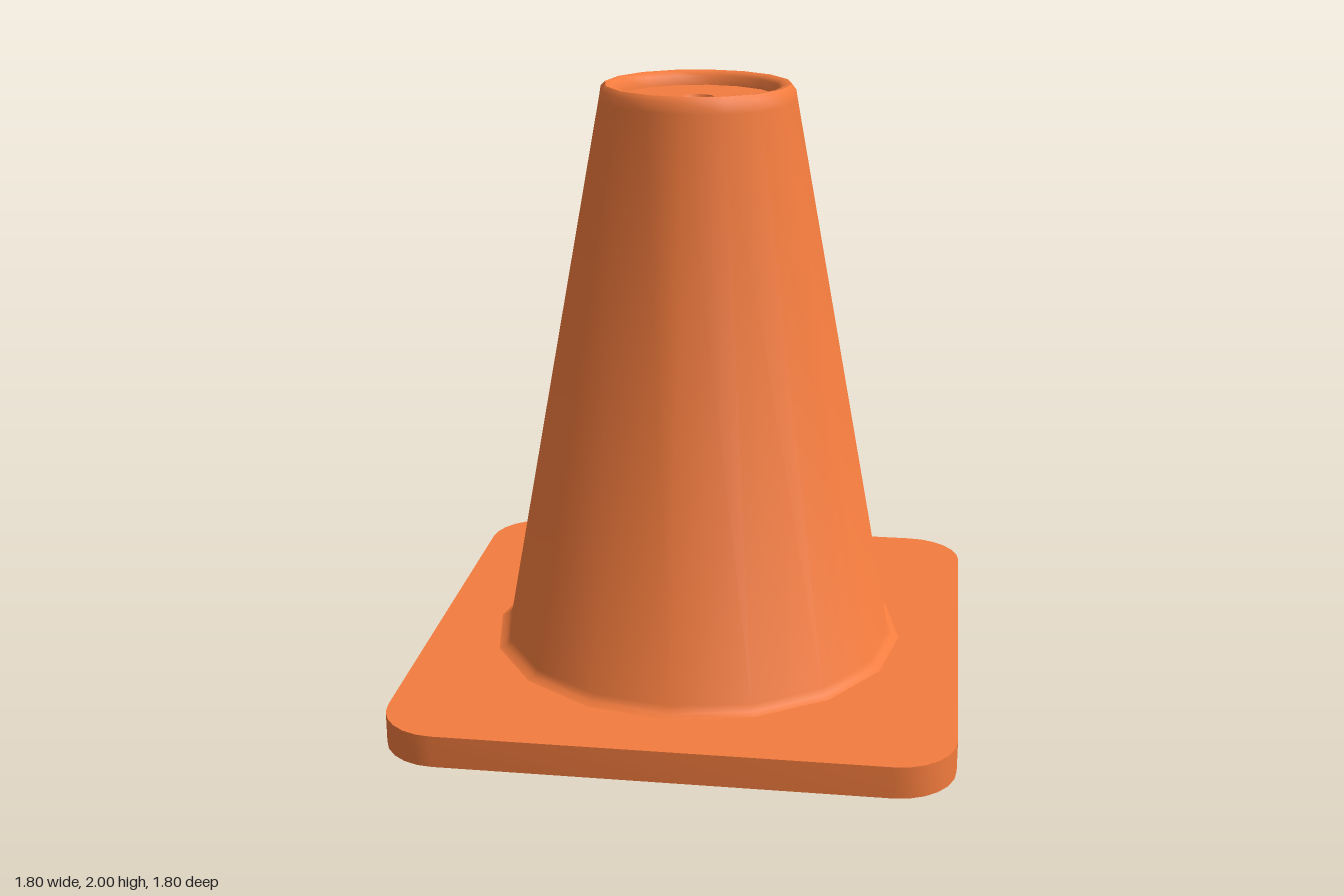
import * as THREE from 'three';
import { toCreasedNormals } from 'three/addons/utils/BufferGeometryUtils.js';

export function createModel() {
  const group = new THREE.Group();
  group.name = 'trafficCone';
  const orange = new THREE.MeshStandardMaterial({ color: 0xf47c3e });

  const add = (name, geometry) => {
    const mesh = new THREE.Mesh(toCreasedNormals(geometry, 0.75), orange);
    mesh.name = name;
    group.add(mesh);
  };

  // Square base plate with rounded corners, three facets each
  const half = 0.902, radius = 0.19, inner = half - radius, height = 0.105;
  const outline = new THREE.Shape();
  [[1, 1], [-1, 1], [-1, -1], [1, -1]].forEach(([sx, sy], i) => {
    const start = i * Math.PI / 2;
    outline.absarc(sx * inner, sy * inner, radius, start, start + Math.PI / 2, false);
  });
  const plate = new THREE.ExtrudeGeometry(outline, { depth: height, bevelEnabled: false, curveSegments: 3 });
  plate.rotateX(-Math.PI / 2);
  add('basePlate', plate);

  // Sixteen-sided body: foot fillet, tapered wall, rounded rim, sunken cap
  const body = [
    [0.7, 0.104], [0.675, 0.113], [0.66, 0.135],
    [0.321, 1.95], [0.315, 1.985], [0.3, 2.0],
    [0.278, 1.997], [0.265, 1.985], [0.26, 1.955],
    [0.054, 1.955],
  ].map(([r, y]) => new THREE.Vector2(r, y));
  add('coneBody', new THREE.LatheGeometry(body, 16));

  // Small dimple in the middle of the cap
  const dimple = [
    [0.054, 1.955], [0.045, 1.93], [0.025, 1.913], [0, 1.908],
  ].map(([r, y]) => new THREE.Vector2(r, y));
  add('capDimple', new THREE.LatheGeometry(dimple, 16));

  return group;
}
